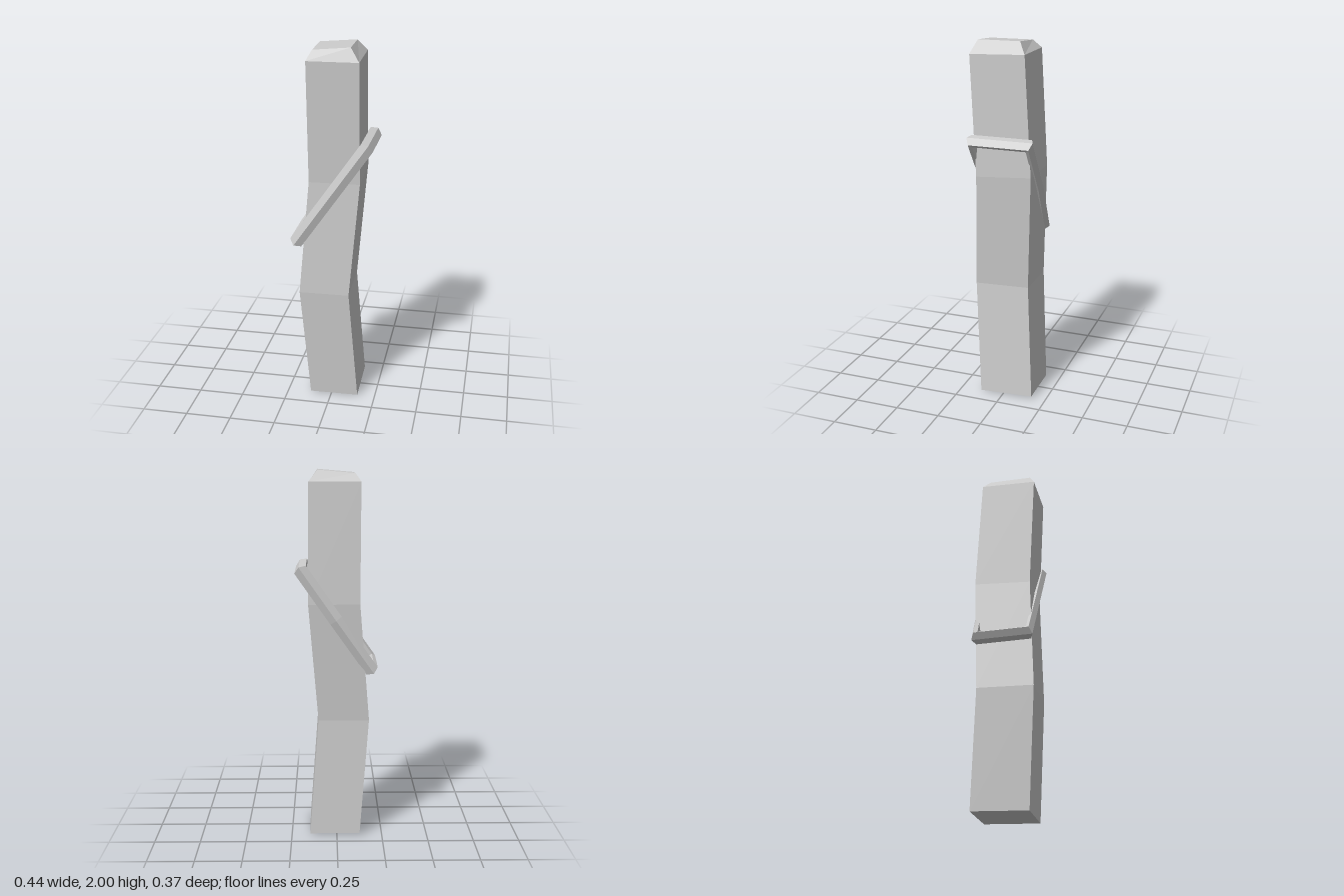
import * as THREE from 'three';

const material = new THREE.MeshStandardMaterial({ color: 0xcccccc, flatShading: true });

// Skin a list of equal-length rings; either close the rings into a loop or cap both ends.
function loft(rings, closed) {
  const pos = [];
  const quad = (a, b, c, d) => [a, b, c, a, c, d].forEach((p) => pos.push(...p));
  const n = rings[0].length;
  const spans = closed ? rings.length : rings.length - 1;
  for (let r = 0; r < spans; r++) {
    const lo = rings[r], hi = rings[(r + 1) % rings.length];
    for (let i = 0; i < n; i++) {
      const j = (i + 1) % n;
      quad(lo[i], lo[j], hi[j], hi[i]);
    }
  }
  if (!closed) {
    quad(...[...rings[0]].reverse());
    quad(...rings[rings.length - 1]);
  }
  const g = new THREE.BufferGeometry();
  g.setAttribute('position', new THREE.Float32BufferAttribute(pos, 3));
  g.computeVertexNormals();
  return g;
}

function part(name, geometry) {
  const mesh = new THREE.Mesh(geometry, material);
  mesh.name = name;
  return mesh;
}

// Crooked square post with a chamfered top.
// Corners run front left, front right, back right, back left as seen from the front.
function createPost() {
  const sections = [
    // left, right, back, front, y at front, y at back, y rise on the right
    [-0.12, 0.15, -0.17, 0.135, 0, 0.013, 0],
    [-0.17, 0.103, -0.13, 0.175, 0.645, 0.655, 0],
    [-0.118, 0.156, -0.16, 0.148, 1.28, 1.3, 0],
    [-0.122, 0.152, -0.122, 0.18, 1.93, 1.94, 0],
    [-0.093, 0.104, -0.081, 0.15, 1.983, 1.983, 0.017],
  ];
  const rings = sections.map(([l, r, b, f, yf, yb, rise]) => [
    [l, yf, f + 0.002],
    [r, yf + rise, f - 0.002],
    [r - 0.003, yb + rise, b],
    [l - 0.006, yb, b],
  ]);
  return part('post', loft(rings, false));
}

// Slanted faceted band wrapped around the post.
function createBand() {
  const along = new THREE.Vector3(0.57, 0.82, 0).normalize();
  const across = new THREE.Vector3(-along.y, along.x, 0);
  const middle = 0.688;
  // Outward depth and sideways offset of the six-sided strap
  const profile = [
    [0, 0.003], [-0.016, -0.035], [-0.035, -0.03],
    [-0.04, 0], [-0.035, 0.03], [-0.016, 0.039],
  ];
  // Distance along the slope, z, and the mitre direction of each corner
  const corners = [
    [0.643, 0.18, -1, 1],
    [1.348, 0.18, 1, 1],
    [1.348, -0.186, 1, -1],
    [1.0, -0.182, 0, -1],
    [0.643, -0.155, -1, -1],
  ];
  const rings = corners.map(([d, z, md, mz]) => profile.map(([out, side]) => {
    const p = along.clone().multiplyScalar(d + out * md);
    p.addScaledVector(across, middle + side);
    return [p.x, p.y, z + out * mz];
  }));
  return part('band', loft(rings, true));
}

export function createModel() {
  const model = new THREE.Group();
  model.name = 'bandedPost';
  model.add(createPost(), createBand());
  return model;
}
